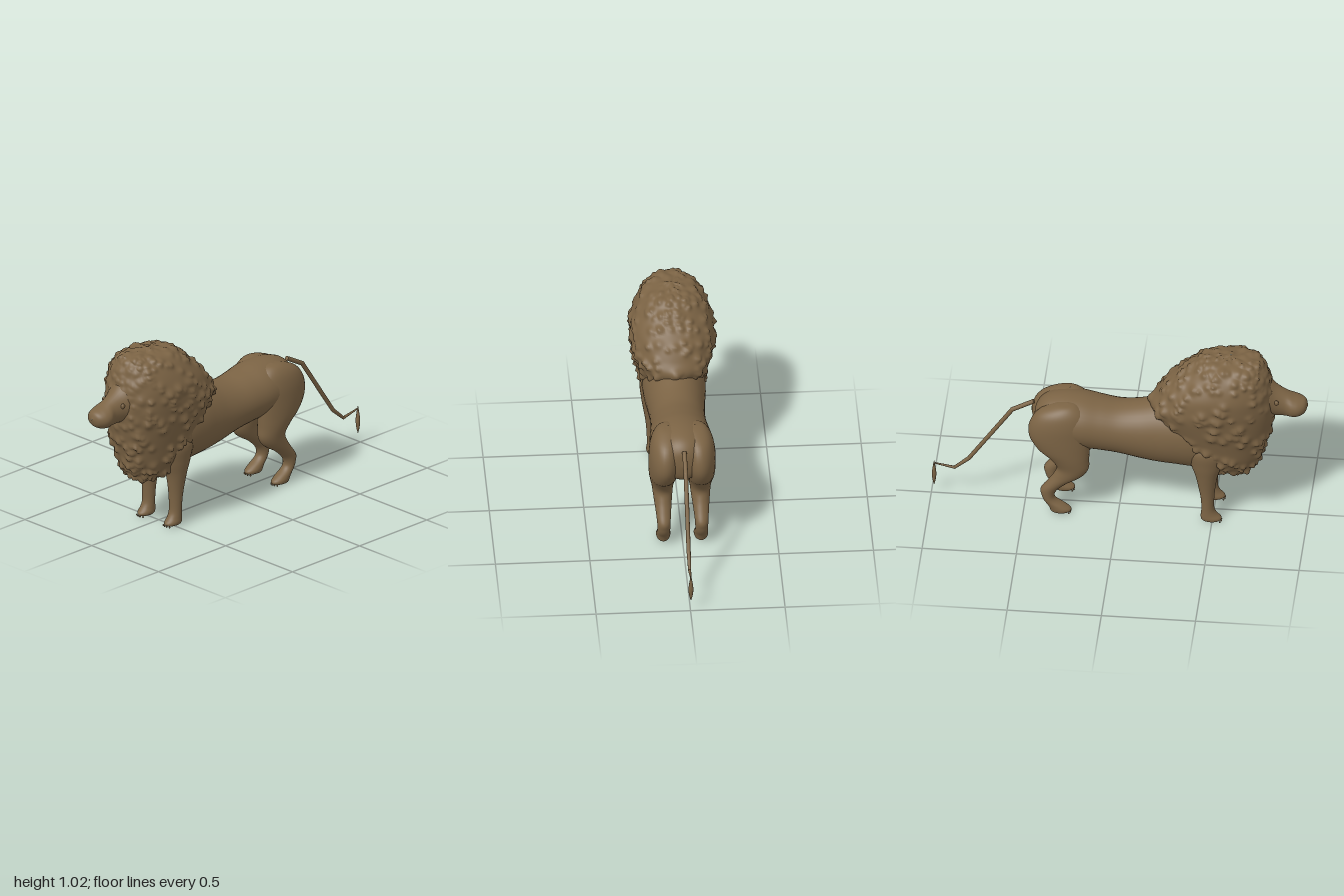
import * as THREE from 'three';

const fur = new THREE.MeshStandardMaterial({ color: 0x7b6344 });
fur.name = 'brown fur';

// Smooth closed skin through sections [x, y, z, xRadius, otherRadius], ascending along the axis.
function loft(sections, axis, rows = 48, cols = 32, power = 2) {
  const path = new THREE.CatmullRomCurve3(sections.map((s) => new THREE.Vector3(s[0], s[1], s[2])), false, 'catmullrom', 0.5);
  const size = new THREE.CatmullRomCurve3(sections.map((s) => new THREE.Vector3(s[3], s[4], 0)), false, 'catmullrom', 0.5);
  const round = (v) => Math.sign(v) * Math.pow(Math.abs(v), 2 / power);
  const pos = [], index = [];
  for (let i = 0; i <= rows; i++) {
    const p = path.getPoint(i / rows), r = size.getPoint(i / rows);
    const a = Math.max(r.x, 0.0005), b = Math.max(r.y, 0.0005);
    for (let j = 0; j < cols; j++) {
      const t = (j / cols) * Math.PI * 2, c = round(Math.cos(t)), s = round(Math.sin(t));
      if (axis === 'z') pos.push(p.x + a * c, p.y + b * s, p.z);
      else pos.push(p.x + a * s, p.y, p.z + b * c);
      if (i < rows) {
        const k = i * cols + j, n = i * cols + ((j + 1) % cols);
        index.push(k, n, k + cols, n, n + cols, k + cols);
      }
    }
  }
  const g = new THREE.BufferGeometry();
  g.setAttribute('position', new THREE.Float32BufferAttribute(pos, 3));
  g.setIndex(index);
  g.computeVertexNormals();
  return g;
}

function seeded(seed) {
  return () => (seed = (seed * 16807) % 2147483647) / 2147483647;
}

// Raise small tufts all over a skin, fewer and softer towards the face
function addTufts(g, count) {
  const rand = seeded(77), p = g.attributes.position, n = g.attributes.normal.clone();
  const base = p.array.slice(), tufts = [];
  for (let i = 0; i < count; i++) {
    const k = Math.floor(rand() * p.count) * 3;
    tufts.push([base[k], base[k + 1], base[k + 2], 0.013 + 0.012 * rand(), 0.008 + 0.014 * rand()]);
  }
  for (let i = 0; i < p.count; i++) {
    const x = base[i * 3], y = base[i * 3 + 1], z = base[i * 3 + 2];
    let h = 0;
    for (const [tx, ty, tz, r, height] of tufts) {
      const d = ((x - tx) ** 2 + (y - ty) ** 2 + (z - tz) ** 2) / (r * r);
      if (d < 6) h = Math.max(h, height * Math.exp(-d));
    }
    if (z > 0.74 && y > 0.6) h *= 0.5;
    p.setXYZ(i, x + n.getX(i) * h, y + n.getY(i) * h - h * 0.3, z + n.getZ(i) * h);
  }
  g.computeVertexNormals();
  return g;
}

export function createModel() {
  const model = new THREE.Group();
  model.name = 'lion';
  const add = (name, geometry, parent = model) => {
    const m = new THREE.Mesh(geometry, fur);
    m.name = name;
    parent.add(m);
    return m;
  };

  // Trunk from rump to chest
  add('body', loft([
    [0, 0.55, -0.455, 0.001, 0.001], [0, 0.55, -0.44, 0.07, 0.08], [0, 0.555, -0.39, 0.125, 0.125],
    [0, 0.555, -0.3, 0.16, 0.147], [0, 0.55, -0.2, 0.165, 0.15], [0, 0.535, -0.1, 0.155, 0.146],
    [0, 0.52, 0, 0.147, 0.147], [0, 0.512, 0.1, 0.147, 0.165], [0, 0.515, 0.2, 0.155, 0.187],
    [0, 0.52, 0.3, 0.165, 0.2], [0, 0.52, 0.42, 0.165, 0.21], [0, 0.52, 0.55, 0.14, 0.19],
    [0, 0.52, 0.64, 0.001, 0.001],
  ], 'z', 72, 40));

  // Shaggy mane
  add('mane', addTufts(loft([
    [0, 0.29, 0.59, 0.001, 0.001], [0, 0.3, 0.59, 0.06, 0.09], [0, 0.33, 0.57, 0.105, 0.145],
    [0, 0.4, 0.545, 0.148, 0.21], [0, 0.5, 0.535, 0.172, 0.25], [0, 0.6, 0.515, 0.195, 0.295],
    [0, 0.7, 0.495, 0.214, 0.33], [0, 0.77, 0.51, 0.219, 0.31], [0, 0.84, 0.53, 0.214, 0.28],
    [0, 0.91, 0.56, 0.185, 0.23], [0, 0.965, 0.58, 0.145, 0.185], [0, 1.0, 0.59, 0.09, 0.135],
    [0, 1.008, 0.59, 0.001, 0.001],
  ], 'y', 130, 150, 2.15), 520));

  // Brow tapering to a broad muzzle
  add('head', loft([
    [0, 0.77, 0.66, 0.001, 0.001], [0, 0.775, 0.72, 0.11, 0.13], [0, 0.77, 0.78, 0.095, 0.115],
    [0, 0.75, 0.83, 0.072, 0.09], [0, 0.733, 0.88, 0.062, 0.075], [0, 0.722, 0.92, 0.073, 0.064],
    [0, 0.719, 0.955, 0.068, 0.053], [0, 0.722, 0.985, 0.043, 0.035], [0, 0.725, 0.999, 0.001, 0.001],
  ], 'z', 48, 32));

  // Legs, eyes and claws, mirrored left and right
  const frontLeg = loft([
    [0.1, 0.008, 0.495, 0.001, 0.001], [0.1, 0.01, 0.495, 0.03, 0.046], [0.1, 0.025, 0.494, 0.038, 0.055],
    [0.1, 0.05, 0.483, 0.036, 0.043], [0.1, 0.085, 0.477, 0.035, 0.034], [0.1, 0.15, 0.475, 0.037, 0.036],
    [0.1, 0.22, 0.472, 0.043, 0.045], [0.1, 0.3, 0.47, 0.055, 0.06], [0.1, 0.38, 0.47, 0.067, 0.085],
    [0.1, 0.48, 0.47, 0.07, 0.1], [0.1, 0.56, 0.47, 0.001, 0.001],
  ], 'y');
  const hindLeg = loft([
    [0.1, 0.008, -0.305, 0.001, 0.001], [0.1, 0.01, -0.305, 0.03, 0.048], [0.1, 0.027, -0.305, 0.038, 0.057],
    [0.1, 0.05, -0.325, 0.037, 0.048], [0.1, 0.08, -0.358, 0.034, 0.036], [0.1, 0.11, -0.371, 0.034, 0.034],
    [0.1, 0.15, -0.365, 0.036, 0.045], [0.1, 0.2, -0.32, 0.042, 0.055], [0.1, 0.25, -0.265, 0.05, 0.077],
    [0.1, 0.3, -0.24, 0.057, 0.085], [0.1, 0.36, -0.258, 0.068, 0.105], [0.098, 0.42, -0.29, 0.077, 0.14],
    [0.093, 0.5, -0.31, 0.084, 0.164], [0.09, 0.58, -0.31, 0.083, 0.158], [0.085, 0.645, -0.3, 0.07, 0.125],
    [0.075, 0.685, -0.28, 0.045, 0.06], [0.07, 0.695, -0.27, 0.001, 0.001],
  ], 'y', 72);
  const mirror = (g) => {
    const m = g.clone().scale(-1, 1, 1);
    m.setIndex(Array.from(g.index.array).reverse());
    m.computeVertexNormals();
    return m;
  };
  const claw = new THREE.SphereGeometry(0.005, 8, 6);
  const eye = new THREE.SphereGeometry(0.012, 14, 10);
  for (const [side, s] of [['left', 1], ['right', -1]]) {
    add(side + 'FrontLeg', s > 0 ? frontLeg : mirror(frontLeg));
    add(side + 'HindLeg', s > 0 ? hindLeg : mirror(hindLeg));
    const e = add(side + 'Eye', eye);
    e.position.set(s * 0.07, 0.775, 0.838);
    e.scale.set(0.8, 1.25, 1);
    for (const [end, z] of [['Front', 0.551], ['Hind', -0.25]]) {
      for (let i = 0; i < 4; i++) {
        const off = (i - 1.5) * 0.015;
        add(side + end + 'Claw', claw).position.set(s * 0.1 + off, 0.009, z - Math.abs(off) * 0.4);
      }
    }
  }

  // Thin tail of straight lengths with a hanging tuft
  const bends = [[0.645, -0.455], [0.582, -0.57], [0.245, -0.8], [0.178, -0.877], [0.2, -0.982]]
    .map(([y, z]) => new THREE.Vector3(-0.003, y, z));
  const widths = [0.012, 0.012, 0.011, 0.008, 0.004];
  for (let i = 0; i < 4; i++) {
    const dir = bends[i + 1].clone().sub(bends[i]);
    const t = add('tailLength', new THREE.CylinderGeometry(widths[i + 1], widths[i], dir.length(), 12));
    t.position.copy(bends[i]).addScaledVector(dir, 0.5);
    t.quaternion.setFromUnitVectors(new THREE.Vector3(0, 1, 0), dir.normalize());
    if (i > 0) add('tailJoint', new THREE.SphereGeometry(widths[i], 12, 8)).position.copy(bends[i]);
  }
  add('tailTuft', loft([
    [-0.003, 0.06, -0.985, 0.001, 0.001], [-0.003, 0.09, -0.985, 0.009, 0.008], [-0.003, 0.13, -0.985, 0.013, 0.012],
    [-0.003, 0.17, -0.985, 0.009, 0.008], [-0.003, 0.215, -0.985, 0.001, 0.001],
  ], 'y', 16, 12));

  return model;
}
